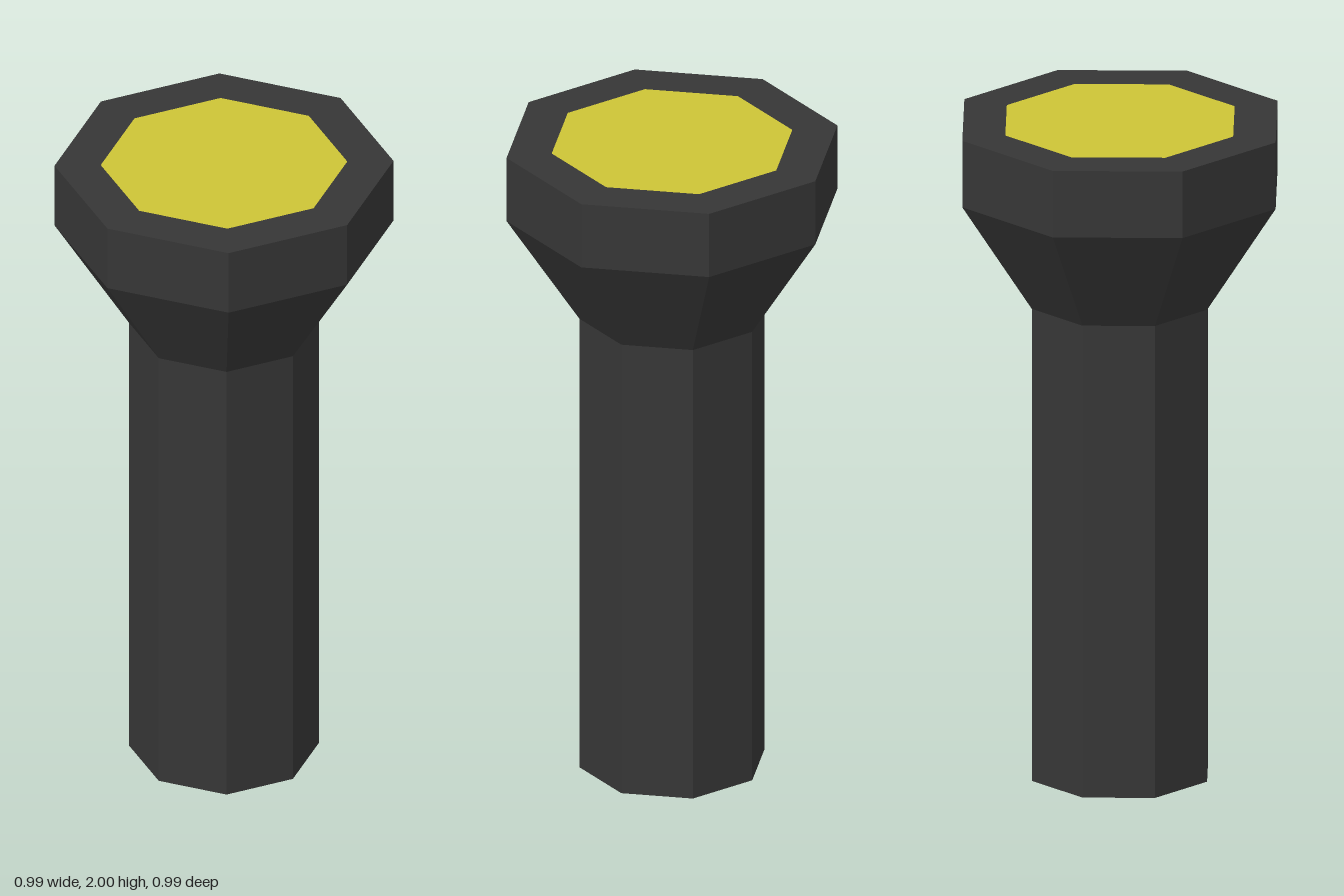
import * as THREE from 'three';

const SIDES = 8;
const HANDLE_R = 0.277, HEAD_R = 0.495, LENS_R = 0.36;
const NECK_Y = 1.455, RIM_Y = 1.795, TOP_Y = 2;

// Faceted solid of revolution from [radius, height] pairs, bottom to top
function facetedLathe(name, profile, material) {
  const points = profile.map(([r, y]) => new THREE.Vector2(r, y));
  const geometry = new THREE.LatheGeometry(points, SIDES).toNonIndexed();
  geometry.computeVertexNormals();
  const mesh = new THREE.Mesh(geometry, material);
  mesh.name = name;
  return mesh;
}

export function createModel() {
  const group = new THREE.Group();
  group.name = 'flashlight';
  const casing = new THREE.MeshStandardMaterial({ color: 0x363636, flatShading: true });
  const glow = new THREE.MeshStandardMaterial({ color: 0xcdc436, flatShading: true });

  // Straight grip with a closed bottom
  group.add(facetedLathe('handle', [[0, 0], [HANDLE_R, 0], [HANDLE_R, NECK_Y]], casing));

  // Flared head, upright rim and flat ring around the lens
  group.add(facetedLathe('head', [
    [HANDLE_R, NECK_Y], [HEAD_R, RIM_Y], [HEAD_R, TOP_Y], [LENS_R, TOP_Y],
  ], casing));

  // Lens flush with the top of the rim
  const lens = new THREE.Mesh(new THREE.CircleGeometry(LENS_R, SIDES).rotateX(-Math.PI / 2), glow);
  lens.name = 'lens';
  lens.position.y = TOP_Y;
  group.add(lens);

  return group;
}
